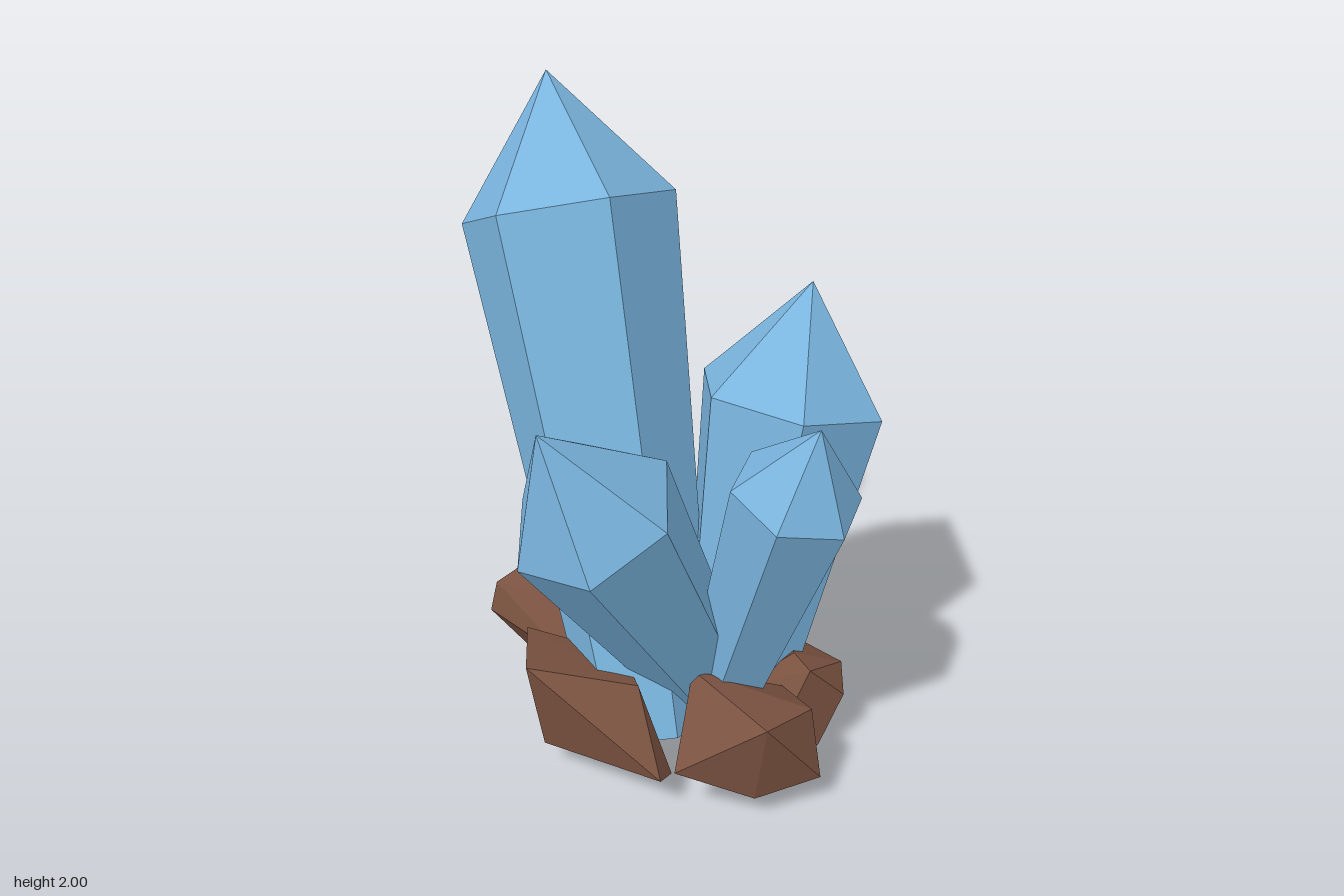
import * as THREE from 'three';
import { ConvexGeometry } from 'three/addons/geometries/ConvexGeometry.js';

const crystalMaterial = new THREE.MeshStandardMaterial({ color: 0x7ab4de, flatShading: true });
const rockMaterial = new THREE.MeshStandardMaterial({ color: 0x7a5240, flatShading: true });

const vec = (p) => new THREE.Vector3(...p);

// Six-sided crystal: a tapered shaft from base to shoulder, then a pointed tip.
// corner is one shoulder corner; the others are turned from it about the axis.
function crystal(name, { base, tip, corner, taper }) {
  const foot = vec(base);
  const apex = vec(tip);
  const axis = apex.clone().sub(foot).normalize();
  const spoke = vec(corner).sub(foot);
  const rise = axis.clone().multiplyScalar(spoke.dot(axis));
  spoke.sub(rise);
  const shoulder = foot.clone().add(rise);
  const points = [apex];
  for (let i = 0; i < 6; i++) {
    const arm = spoke.clone().applyAxisAngle(axis, (i * Math.PI) / 3);
    points.push(shoulder.clone().add(arm), foot.clone().addScaledVector(arm, taper));
  }
  const mesh = new THREE.Mesh(new ConvexGeometry(points), crystalMaterial);
  mesh.name = name;
  return mesh;
}

// Rough rock: the hull of a few corners
function rock(name, corners) {
  const mesh = new THREE.Mesh(new ConvexGeometry(corners.map(vec)), rockMaterial);
  mesh.name = name;
  return mesh;
}

const crystals = {
  tallCrystal: { base: [0.16, 0.1, 0.17], tip: [-0.6, 2, -0.08], corner: [-0.745, 1.49, -0.11], taper: 0.6 },
  backCrystal: { base: [0.22, 0.1, -0.13], tip: [0.19, 1.46, -0.45], corner: [0.25, 1.045, -0.655], taper: 0.6 },
  frontCrystal: { base: [0.23, 0.2, -0.02], tip: [0.21, 1.33, 0.61], corner: [0.15, 0.89, 0.65], taper: 0.55 },
  rightCrystal: { base: [0.27, 0.12, 0], tip: [0.63, 1.285, -0.03], corner: [0.745, 0.995, -0.02], taper: 0.58 },
};

const rocks = {
  frontRock: [
    [0.01, 0.42, 0.54], [0.02, 0.11, 0.49], [-0.21, 0.37, 0.37], [-0.16, 0.09, 0.32],
    [0.25, 0.37, 0.3], [0.42, 0.14, 0.36], [0.38, 0.1, 0.28], [0.12, 0.07, 0.17], [0.05, 0.33, 0.2],
  ],
  rightRock: [
    [0.34, 0.41, 0.16], [0.65, 0.36, 0.15], [0.47, 0.2, 0.35], [0.64, 0.33, -0.05],
    [0.7, 0.11, -0.04], [0.45, 0.27, -0.12], [0.42, 0.09, 0.17], [0.62, 0.09, 0.16],
    [0.35, 0.15, -0.08], [0.55, 0.1, -0.1],
  ],
  leftRock: [
    [-0.53, 0.33, 0.26], [-0.53, 0.23, 0.29], [-0.45, 0.43, 0.14], [-0.26, 0.475, 0.1],
    [-0.18, 0.42, 0.2], [-0.06, 0.28, 0.31], [-0.43, 0.08, 0.2], [-0.15, 0.09, 0.2],
    [-0.5, 0.25, 0], [-0.3, 0.15, -0.1], [-0.2, 0.38, -0.06],
  ],
  backLeftRock: [
    [-0.335, 0.22, -0.33], [-0.22, 0.31, -0.41], [-0.125, 0.12, -0.515], [-0.04, 0.32, -0.48],
    [-0.14, 0.33, -0.2], [-0.13, 0.02, -0.32], [0.1, 0.28, -0.3], [0.1, 0.1, -0.42],
    [0.05, 0.07, -0.25], [-0.25, 0.15, -0.15], [-0.05, 0.15, -0.08],
  ],
  backRightRock: [
    [0.48, 0.26, -0.36], [0.55, 0.2, -0.3], [0.51, 0.33, -0.18], [0.42, 0.34, -0.2],
    [0.51, 0, -0.15], [0.545, 0.05, -0.2], [0.45, 0.04, -0.32], [0.4, 0.13, -0.43],
    [0.19, 0.06, -0.2], [0.25, 0.25, -0.35], [0.3, 0.2, -0.06], [0.5, 0.1, -0.03],
  ],
};

export function createModel() {
  const model = new THREE.Group();
  model.name = 'crystalCluster';
  for (const [name, spec] of Object.entries(crystals)) model.add(crystal(name, spec));
  for (const [name, corners] of Object.entries(rocks)) model.add(rock(name, corners));
  return model;
}
